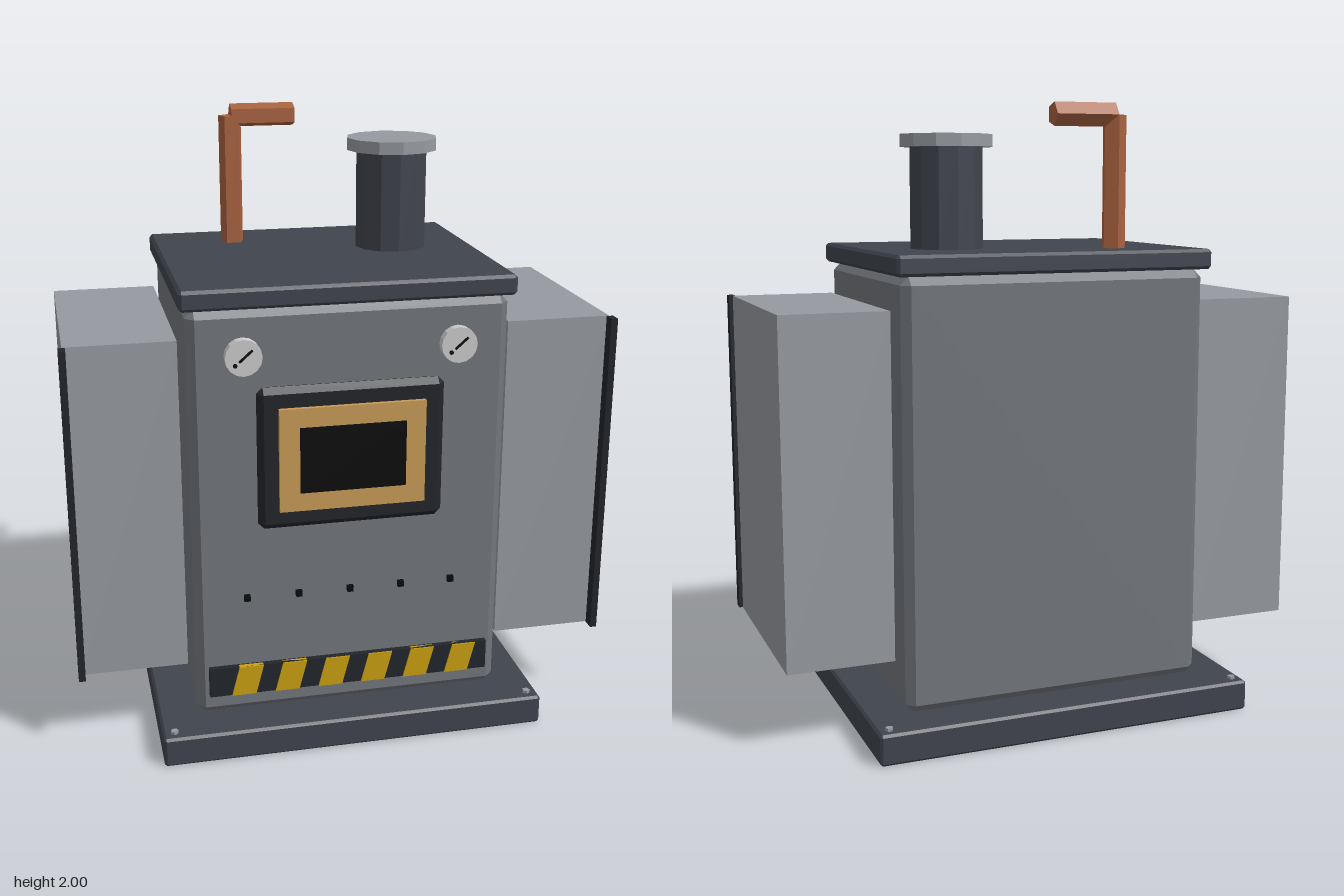
import * as THREE from 'three';
import { ConvexGeometry } from 'three/addons/geometries/ConvexGeometry.js';

const paint = (color) => new THREE.MeshStandardMaterial({ color, flatShading: true });
const steel = paint(0x72767c), dark = paint(0x40444e), panelGrey = paint(0x969aa0);
const black = paint(0x22252a), soot = paint(0x0c0c0d), copper = paint(0xa8623f);
const brass = paint(0xc89a56), yellow = paint(0xc9a012), dialGrey = paint(0xcccccc);

// Box with every edge cut at 45 degrees
function chamferBox(w, h, d, c) {
  const points = [];
  for (const x of [-w / 2, w / 2]) for (const y of [-h / 2, h / 2]) for (const z of [-d / 2, d / 2]) {
    const ix = x - Math.sign(x) * c, iy = y - Math.sign(y) * c, iz = z - Math.sign(z) * c;
    points.push(new THREE.Vector3(x, iy, iz), new THREE.Vector3(ix, y, iz), new THREE.Vector3(ix, iy, z));
  }
  return new ConvexGeometry(points);
}

export function createModel() {
  const model = new THREE.Group();
  model.name = 'furnace';

  const add = (name, geometry, material, x, y, z, parent = model) => {
    const mesh = new THREE.Mesh(geometry, material);
    mesh.name = name;
    mesh.position.set(x, y, z);
    parent.add(mesh);
    return mesh;
  };
  const box = (w, h, d) => new THREE.BoxGeometry(w, h, d);
  const cylinder = (r, h, sides, start = 0) => new THREE.CylinderGeometry(r, r, h, sides, 1, false, start);

  // Base, body and lid
  add('base', chamferBox(1.27, 0.1, 1.1, 0.008), dark, 0, 0.05, 0);
  add('body', chamferBox(1.02, 1.37, 0.85, 0.027), steel, 0, 0.785, 0);
  add('lid', chamferBox(1.06, 0.065, 0.88, 0.01), dark, 0, 1.503, 0);
  for (const x of [-0.597, 0.597]) for (const z of [-0.512, 0.512]) {
    add('baseBolt', cylinder(0.013, 0.015, 5), panelGrey, x, 0.102, z);
  }

  // Side tanks with dark edge strips, and the front gauges
  for (const side of [-1, 1]) {
    const name = side > 0 ? 'left' : 'right';
    add(name + 'Tank', box(0.345, 1.105, 0.72), panelGrey, side * 0.7025, 0.8125, 0);
    add(name + 'TankStrip', box(0.022, 1.105, 0.04), black, side * 0.876, 0.8125, 0.384);

    const gauge = new THREE.Group();
    gauge.name = name + 'Gauge';
    gauge.position.set(side * 0.34, 1.325, 0.425);
    const dial = add('dial', cylinder(0.058, 0.03, 16), dialGrey, 0, 0, 0.015, gauge);
    dial.rotation.x = Math.PI / 2;
    const needle = add('needle', box(0.007, 0.055, 0.006), soot, 0.006, 0.006, 0.031, gauge);
    needle.rotation.z = -0.85;
    const pin = add('needlePin', cylinder(0.007, 0.006, 8), soot, -0.027, -0.022, 0.031, gauge);
    pin.rotation.x = Math.PI / 2;
    model.add(gauge);
  }

  // Firebox window: frame, brass surround, dark glass
  add('windowFrame', chamferBox(0.6, 0.47, 0.06, 0.02), black, 0, 0.985, 0.418);
  add('windowSurround', box(0.47, 0.34, 0.05), brass, 0, 0.985, 0.438);
  add('windowGlass', box(0.34, 0.215, 0.05), soot, 0, 0.985, 0.445);

  // Row of vent studs
  for (let i = -2; i <= 2; i++) {
    add('ventStud', box(0.02, 0.02, 0.02), soot, i * 0.17, 0.515, 0.43);
  }

  // Hazard band with slanted stripes
  add('hazardBand', box(0.94, 0.1, 0.025), black, 0, 0.225, 0.433);
  const slant = new THREE.Shape([[-0.053, -0.05], [0.027, -0.05], [0.053, 0.05], [-0.027, 0.05]]
    .map(([x, y]) => new THREE.Vector2(x, y)));
  const stripe = new THREE.ExtrudeGeometry(slant, { depth: 0.02, bevelEnabled: false });
  for (let i = 0; i < 6; i++) {
    add('hazardStripe', stripe, yellow, -0.345 + i * 0.1445, 0.225, 0.43);
  }

  // Chimney and cap
  add('chimney', cylinder(0.12, 0.34, 12), dark, 0.255, 1.695, -0.083);
  add('chimneyCap', cylinder(0.152, 0.04, 12), panelGrey, 0.255, 1.88, -0.083);

  // Bent five-sided exhaust pipe
  add('pipeRiser', cylinder(0.04, 0.44, 5, Math.PI), copper, -0.26, 1.742, -0.257);
  const spout = add('pipeSpout', cylinder(0.04, 0.215, 5, Math.PI), copper, -0.1525, 1.962, -0.257);
  spout.rotation.z = Math.PI / 2;

  return model;
}
